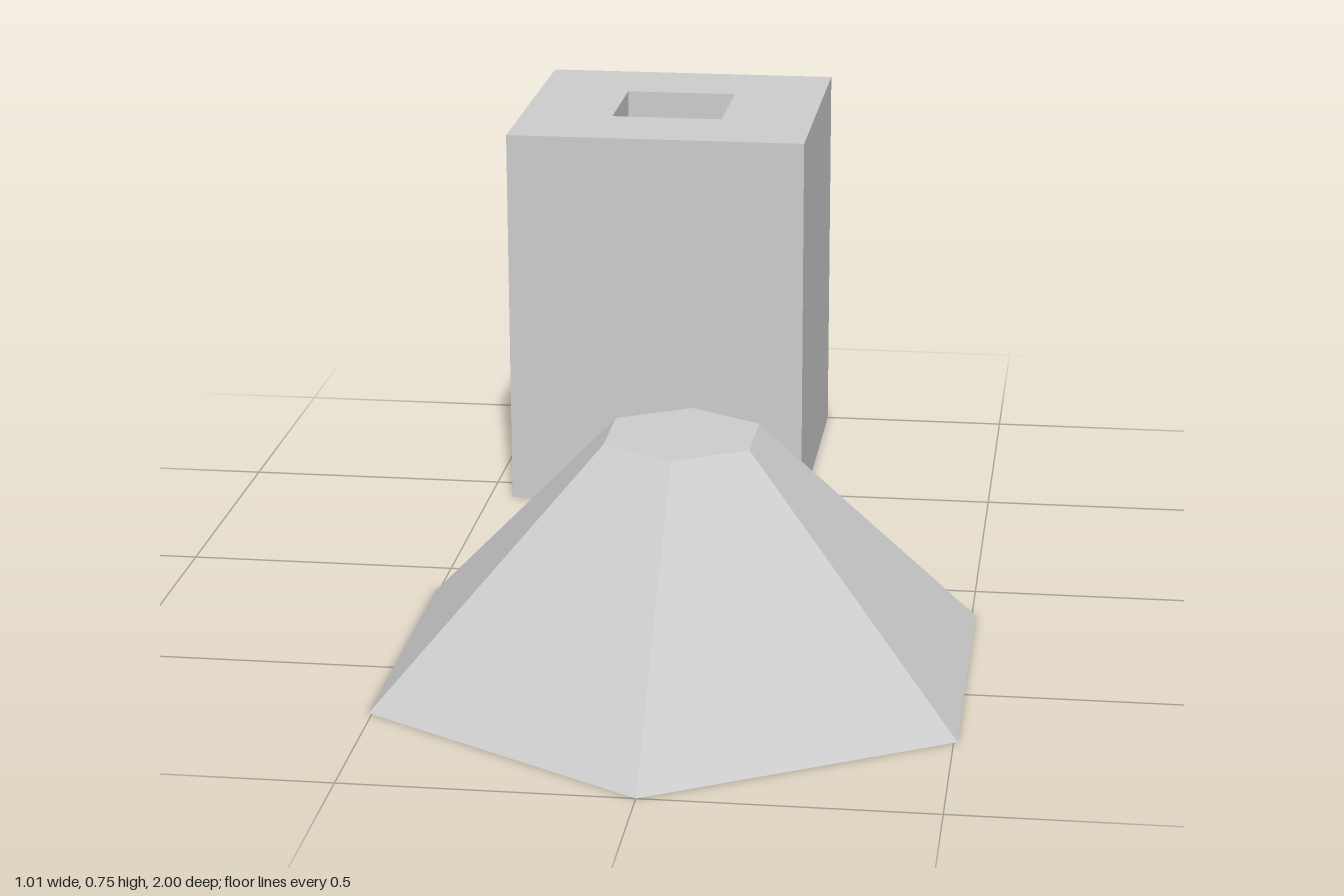
import * as THREE from 'three';

const SIZE = 0.585;   // side of the square block
const HOLE = 0.22;    // side of the square shaft
const HEIGHT = 0.75;
const FLOOR = 0.05;   // thickness of the shaft's floor

// Traces a centred square on a Shape or Path
function square(path, side) {
  const h = side / 2;
  path.moveTo(-h, -h);
  path.lineTo(h, -h);
  path.lineTo(h, h);
  path.lineTo(-h, h);
  path.closePath();
  return path;
}

export function createModel() {
  const model = new THREE.Group();
  const grey = new THREE.MeshStandardMaterial({ color: 0xcccccc, flatShading: true });
  grey.name = 'light grey';

  const add = (parent, name, geometry, x, y, z) => {
    const mesh = new THREE.Mesh(geometry, grey);
    mesh.name = name;
    mesh.position.set(x, y, z);
    parent.add(mesh);
  };

  // Six-sided mound with a flat top, a corner pointing forward
  add(model, 'hexagonalMound', new THREE.CylinderGeometry(0.147, 0.585, 0.43, 6), 0, 0.215, 0.415);

  // Square block with a vertical shaft, closed at the bottom
  const block = new THREE.Group();
  block.name = 'hollowBlock';
  block.position.set(-0.162, 0, -0.7075);
  model.add(block);

  const outline = square(new THREE.Shape(), SIZE);
  outline.holes.push(square(new THREE.Path(), HOLE));
  const walls = new THREE.ExtrudeGeometry(outline, { depth: HEIGHT, bevelEnabled: false });
  walls.rotateX(-Math.PI / 2);
  add(block, 'blockWalls', walls, 0, 0, 0);
  add(block, 'shaftFloor', new THREE.BoxGeometry(HOLE, FLOOR, HOLE), 0, FLOOR / 2, 0);

  return model;
}
